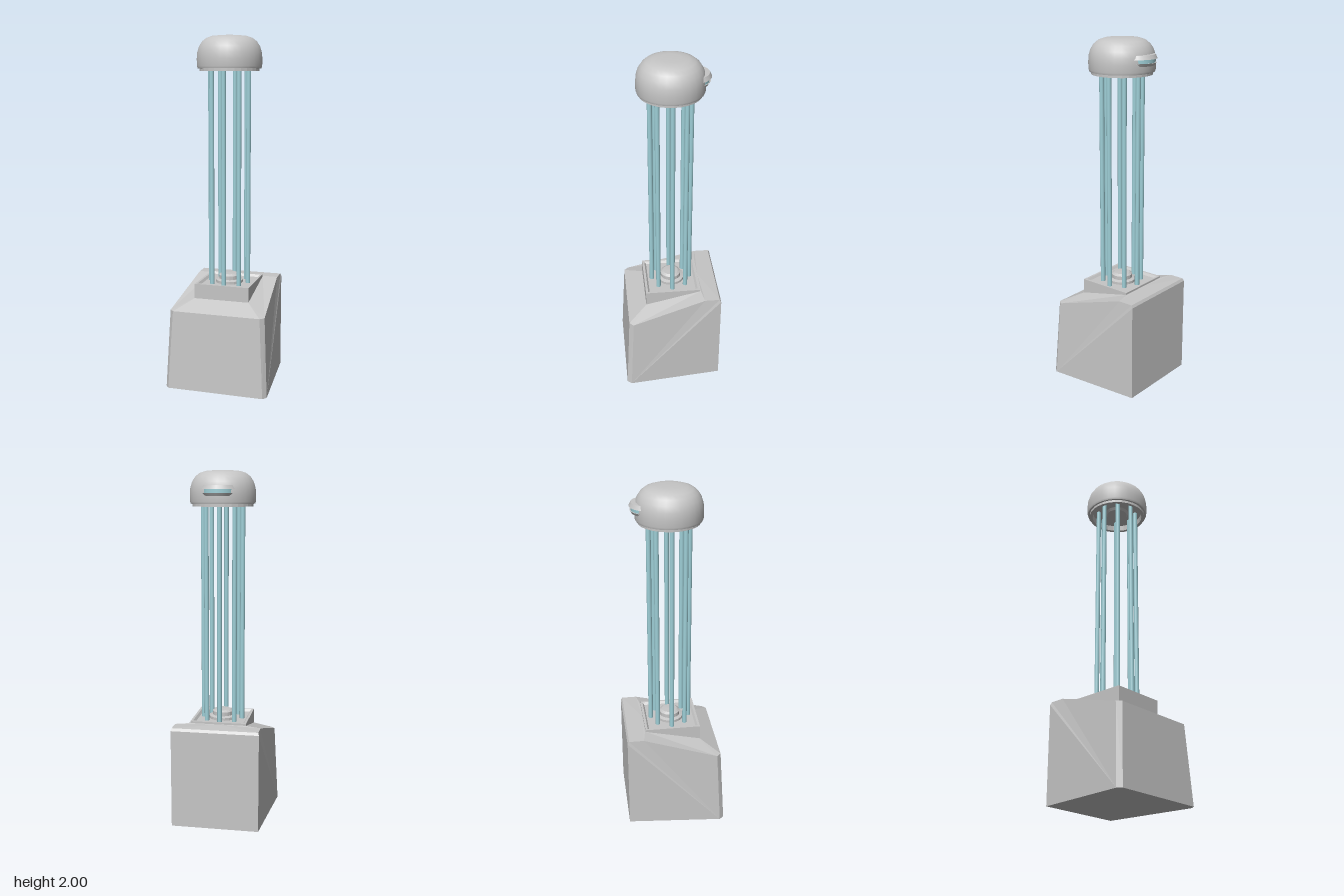
import * as THREE from 'three';

const grey = new THREE.MeshStandardMaterial({ color: 0xc6c6c6 });
grey.name = 'light grey';
const teal = new THREE.MeshStandardMaterial({ color: 0x9fd0d8 });
teal.name = 'pale teal';

const AXIS_Z = -0.01; // the column stands slightly behind the centre

function mesh(name, geometry, material, x = 0, y = 0, z = 0) {
  const m = new THREE.Mesh(geometry, material);
  m.name = name;
  m.position.set(x, y, z);
  return m;
}

// Surface of revolution from [radius, height] pairs, optionally hard edged
function turned(points, segments, hard = false) {
  const g = new THREE.LatheGeometry(points.map(([r, y]) => new THREE.Vector2(r, y)), segments);
  if (!hard) return g;
  const flat = g.toNonIndexed();
  flat.computeVertexNormals();
  return flat;
}

// Flat polygons for the +x half, mirrored to the other side
function mirroredFaces(faces) {
  const pos = [];
  for (const f of faces) {
    for (let i = 1; i < f.length - 1; i++) {
      const tri = [f[0], f[i], f[i + 1]];
      for (const p of tri) pos.push(...p);
      for (const p of tri.reverse()) pos.push(-p[0], p[1], p[2]);
    }
  }
  const g = new THREE.BufferGeometry();
  g.setAttribute('position', new THREE.Float32BufferAttribute(pos, 3));
  g.computeVertexNormals();
  return g;
}

// Tapered pedestal with sloping top and chamfered front corners
function pedestalGeometry() {
  const b0 = [0.25, 0, -0.285], b1 = [0.3, 0, 0.26], b2 = [0.28, 0, 0.285];
  const t0 = [0.25, 0.565, -0.285], t1 = [0.246, 0.58, -0.276], t2 = [0.246, 0.58, -0.19];
  const t3 = [0.278, 0.455, 0.236], t4 = [0.255, 0.455, 0.26];
  const p0 = [0.16, 0.585, -0.175], p1 = [0.16, 0.51, 0.15];
  const mid = ([, y, z]) => [0, y, z];
  return mirroredFaces([
    [b1, b0, t0, t1, t2, t3],           // side
    [b2, b1, t3, t4],                   // front corner chamfer
    [mid(b2), b2, t4, mid(t4)],         // front
    [mid(t4), t4, p1, mid(p1)],         // front slope
    [t4, t3, p1],                       // slope corner
    [t3, t2, p0, p1],                   // side slope
    [mid(p1), p1, p0, mid(p0)],         // under the plinth
    [mid(p0), p0, t2, t1, mid(t1)],     // rear shelf
    [mid(t1), t1, t0, mid(t0)],         // rear bevel
    [mid(t0), t0, b0, mid(b0)],         // back
    [mid(b0), b0, b1, b2, mid(b2)],     // underside
  ]);
}

export function createModel() {
  const model = new THREE.Group();
  model.name = 'columnLamp';
  model.add(mesh('pedestal', pedestalGeometry(), grey));

  // Square plinth with a recessed top
  const s = Math.SQRT2;
  const plinth = turned([
    [0.161 * s, 0.5], [0.161 * s, 0.595], [0.148 * s, 0.595],
    [0.138 * s, 0.582], [0, 0.582],
  ], 4, true);
  plinth.rotateY(Math.PI / 4);
  model.add(mesh('plinth', plinth, grey, 0, 0, AXIS_Z));

  // Stepped knob in the middle of the plinth
  model.add(mesh('knob', turned([
    [0.08, 0.58], [0.08, 0.597], [0.06, 0.603], [0.06, 0.625],
    [0.045, 0.635], [0, 0.637],
  ], 20, true), grey, 0, 0, AXIS_Z));

  // Ring of eight slender rods
  const rods = new THREE.Group();
  rods.name = 'rods';
  const rodGeometry = new THREE.CylinderGeometry(0.0135, 0.0135, 1.27, 12);
  for (let i = 0; i < 8; i++) {
    const a = (i * Math.PI) / 4;
    rods.add(mesh('rod', rodGeometry, teal,
      0.113 * Math.sin(a), 1.21, AXIS_Z + 0.113 * Math.cos(a)));
  }
  model.add(rods);

  // Cap: smooth dome over a stepped, recessed underside
  const cap = new THREE.Group();
  cap.name = 'cap';
  cap.position.z = AXIS_Z;
  cap.add(mesh('dome', turned([
    [0.18, 1.818], [0.184, 1.83], [0.185, 1.87], [0.182, 1.905], [0.172, 1.938],
    [0.154, 1.966], [0.13, 1.985], [0.098, 1.996], [0.055, 2], [0, 2],
  ], 28), grey));
  cap.add(mesh('capUnderside', turned([
    [0, 1.82], [0.06, 1.82], [0.07, 1.835], [0.148, 1.835], [0.152, 1.803],
    [0.17, 1.803], [0.17, 1.818], [0.18, 1.818],
  ], 28, true), grey));

  // Rear visor: two curved lips with a glowing strip between
  const lip = (name, material, low, high, y, h) =>
    cap.add(mesh(name, new THREE.CylinderGeometry(high, low, h, 20), material, 0, y, -0.11));
  lip('upperLip', grey, 0.105, 0.094, 1.908, 0.022);
  lip('lightStrip', teal, 0.094, 0.094, 1.887, 0.024);
  lip('lowerLip', grey, 0.09, 0.1, 1.868, 0.016);
  model.add(cap);

  return model;
}
